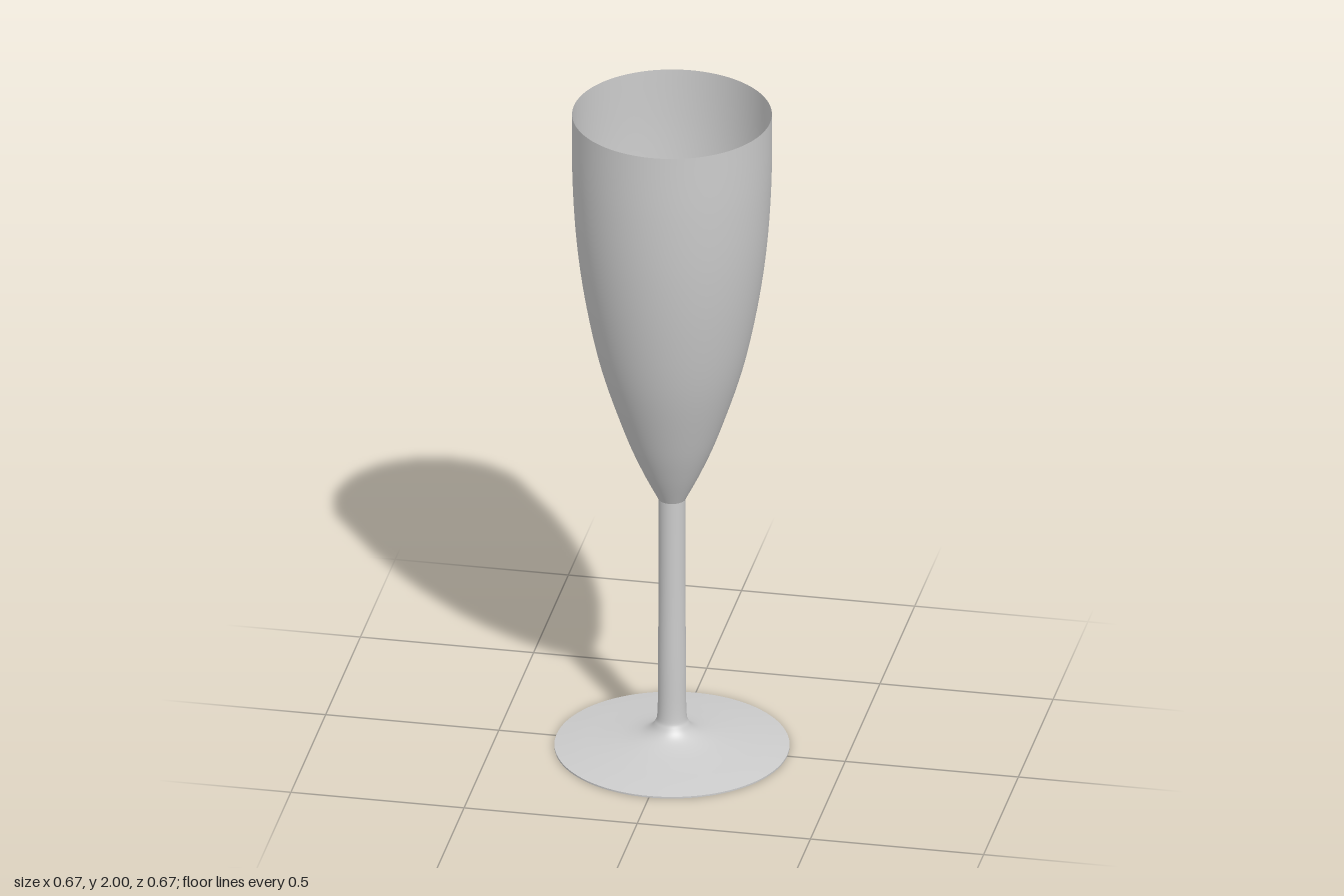
import * as THREE from 'three';

const SEGMENTS = 96;
const material = new THREE.MeshStandardMaterial({ color: 0xcccccc });
const thinMaterial = new THREE.MeshStandardMaterial({ color: 0xcccccc, side: THREE.DoubleSide });

// Smooth curve through [radius, height] pairs
function smooth(pairs, divisions) {
  return new THREE.SplineCurve(pairs.map(([r, y]) => new THREE.Vector2(r, y))).getPoints(divisions);
}

function lathe(name, points, mat) {
  const mesh = new THREE.Mesh(new THREE.LatheGeometry(points, SEGMENTS), mat);
  mesh.name = name;
  return mesh;
}

// Flat round face, looking up (1) or down (-1)
function disc(name, radius, y, direction) {
  const geometry = new THREE.CircleGeometry(radius, SEGMENTS);
  geometry.rotateX(-direction * Math.PI / 2);
  const mesh = new THREE.Mesh(geometry, material);
  mesh.name = name;
  mesh.position.y = y;
  return mesh;
}

export function createModel() {
  const glass = new THREE.Group();
  glass.name = 'fluteGlass';

  // Flat foot: underside and thin rim
  glass.add(disc('footUnderside', 0.333, 0, -1));
  glass.add(lathe('footRim', [new THREE.Vector2(0.333, 0), new THREE.Vector2(0.333, 0.005)], material));

  // Foot top sweeping up through a fillet into the stem
  const footAndStem = smooth([
    [0.333, 0.005], [0.27, 0.014], [0.19, 0.024], [0.12, 0.035], [0.075, 0.05],
    [0.05, 0.075], [0.041, 0.115], [0.04, 0.27], [0.038, 0.5], [0.038, 0.785],
  ], 54);
  glass.add(lathe('footAndStem', footAndStem, material));

  // Thin tapering bowl, open at the top
  const bowl = smooth([
    [0.039, 0.785], [0.086, 0.88], [0.135, 1.0], [0.2, 1.2], [0.243, 1.4],
    [0.27, 1.6], [0.282, 1.8], [0.283, 2],
  ], 42);
  glass.add(lathe('bowl', bowl, thinMaterial));

  // Flat floor inside the bowl
  glass.add(disc('bowlFloor', 0.039, 0.786, 1));

  return glass;
}
